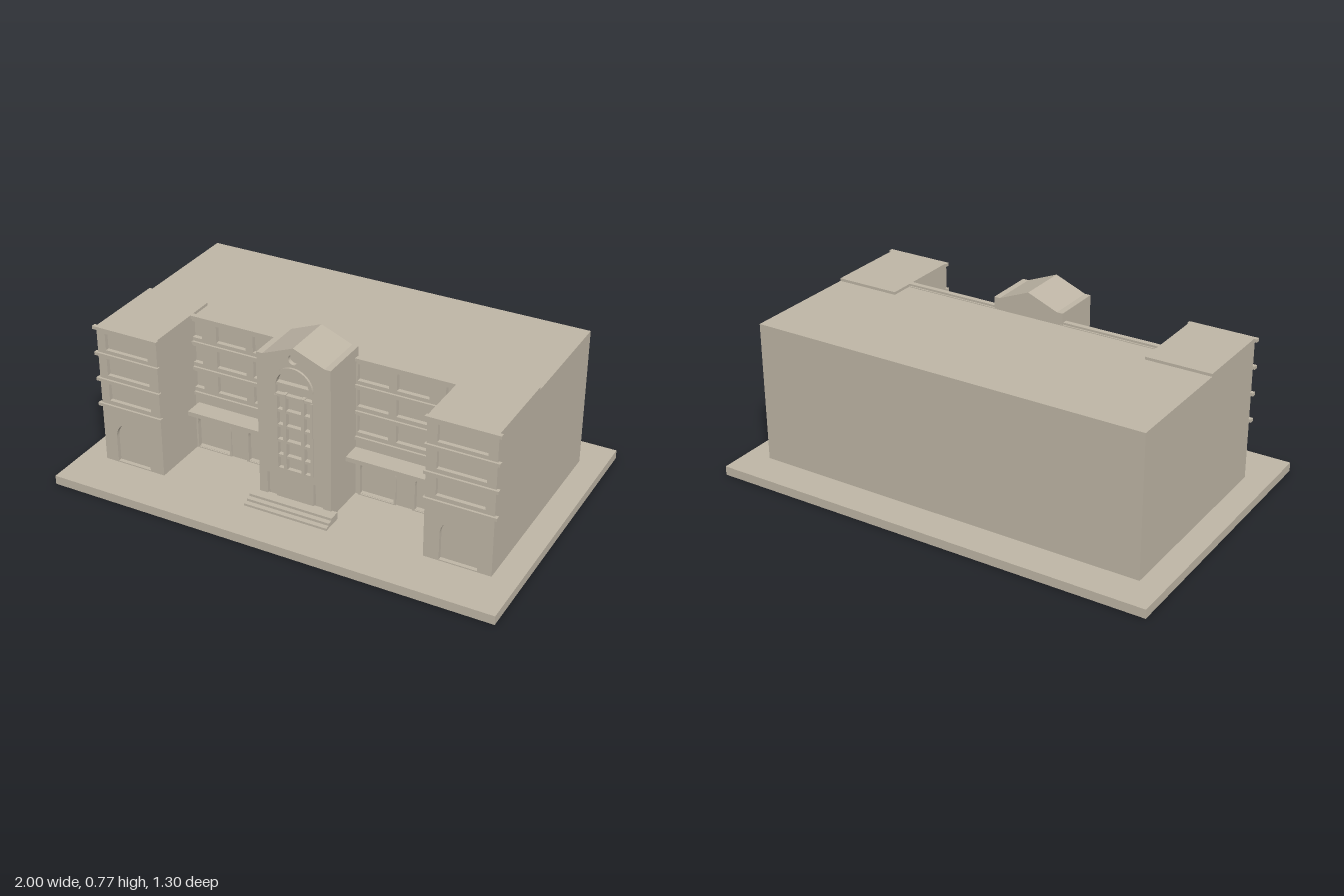
import * as THREE from 'three';

export function createModel() {
  const model = new THREE.Group();
  const stone = new THREE.MeshStandardMaterial({ color: 0xbfb6a6 });
  stone.name = 'stone';

  const add = (name, geometry, parent = model) => {
    const mesh = new THREE.Mesh(geometry, stone);
    mesh.name = name;
    parent.add(mesh);
    return mesh;
  };
  // Box given by its limits on each axis
  const box = (name, x0, x1, y0, y1, z0, z1, parent) =>
    add(name, new THREE.BoxGeometry(x1 - x0, y1 - y0, z1 - z0)
      .translate((x0 + x1) / 2, (y0 + y1) / 2, (z0 + z1) / 2), parent);
  const extrude = (name, shape, z0, z1, parent) =>
    add(name, new THREE.ExtrudeGeometry(shape, { depth: z1 - z0, bevelEnabled: false, curveSegments: 16 })
      .translate(0, 0, z0), parent);

  const poly = (points, Type = THREE.Shape) => new Type(points.map(([x, y]) => new THREE.Vector2(x, y)));
  const rect = (x0, x1, y0, y1, Type) => poly([[x0, y0], [x1, y0], [x1, y1], [x0, y1]], Type);
  const arch = (cx, r, y0, spring, Type = THREE.Path) => {
    const s = new Type();
    s.moveTo(cx - r, y0);
    s.lineTo(cx + r, y0);
    s.lineTo(cx + r, spring);
    s.absarc(cx, spring, r, 0, Math.PI, false);
    s.lineTo(cx - r, y0);
    return s;
  };
  // Arched surround with an open middle
  const archFrame = (name, cx, r, y0, spring, w, z0, z1, parent) => {
    const s = arch(cx, r, y0, spring, THREE.Shape);
    s.holes.push(arch(cx, r - w, y0 + 0.004, spring));
    extrude(name, s, z0, z1, parent);
  };

  const floors = [[0.335, 0.413], [0.455, 0.532], [0.573, 0.648]];
  const bandHeights = [0.31, 0.43, 0.55, 0.67];

  // Ground slab and main block
  box('groundSlab', -1, 1, 0, 0.04, -0.65, 0.65);
  box('mainBlock', -0.89, 0.89, 0.04, 0.665, -0.495, 0.148);

  for (const side of [-1, 1]) {
    const label = side > 0 ? 'left' : 'right';
    const span = (a, b) => (side > 0 ? [a, b] : [-b, -a]);

    // Projecting end wing with recessed windows and archway
    const wing = new THREE.Group();
    wing.name = label + 'Wing';
    model.add(wing);
    const [w0, w1] = span(0.6, 0.89);
    box('wingBlock', w0, w1, 0.04, 0.677, 0.045, 0.415, wing);
    const wingWall = rect(w0, w1, 0.04, 0.677);
    for (const [y0, y1] of floors) wingWall.holes.push(rect(...span(0.645, 0.85), y0, y1, THREE.Path));
    wingWall.holes.push(arch(side * 0.748, 0.081, 0.045, 0.164));
    extrude('wingFacade', wingWall, 0.415, 0.433, wing);
    for (const y of bandHeights) {
      box('wingBand', ...span(0.594, 0.903), y - 0.007, y + 0.007, 0.424, 0.443, wing);
    }

    // Set-back facade between wing and tower
    const inner = new THREE.Group();
    inner.name = label + 'CentralFacade';
    model.add(inner);
    const [c0, c1] = span(0.15, 0.605);
    const wall = rect(c0, c1, 0.04, 0.668);
    for (const [y0, y1] of floors) {
      for (const [a, b] of [[0.172, 0.31], [0.345, 0.485], [0.555, 0.6]]) {
        wall.holes.push(rect(...span(a, b), y0, y1, THREE.Path));
      }
    }
    for (const cx of [0.265, 0.514]) {
      wall.holes.push(arch(side * cx, 0.08, 0.045, 0.16));
      archFrame('archSurround', side * cx, 0.087, 0.04, 0.16, 0.01, 0.155, 0.174, inner);
    }
    extrude('centralWall', wall, 0.148, 0.168, inner);
    for (const y of bandHeights) {
      box('centralBand', c0, c1, y - 0.007, y + 0.007, 0.155, 0.178, inner);
    }
    box('canopy', ...span(0.15, 0.585), 0.243, 0.263, 0.165, 0.255, inner);
  }

  // Entrance tower with shouldered gable
  const tower = new THREE.Group();
  tower.name = 'entranceTower';
  model.add(tower);
  const outline = [[-0.165, 0.04], [0.165, 0.04], [0.165, 0.718], [0.138, 0.718],
    [0, 0.774], [-0.138, 0.718], [-0.165, 0.718]];
  extrude('towerBlock', poly(outline), 0.15, 0.36, tower);
  const towerWall = poly(outline);
  towerWall.holes.push(arch(0, 0.082, 0.212, 0.598));
  const roundel = new THREE.Path();
  roundel.absarc(0, 0.723, 0.022, 0, Math.PI * 2, false);
  towerWall.holes.push(roundel);
  for (const side of [-1, 1]) {
    const [a, b] = side > 0 ? [0.085, 0.128] : [-0.128, -0.085];
    towerWall.holes.push(rect(a, b, 0.045, 0.176, THREE.Path));
  }
  extrude('towerFacade', towerWall, 0.36, 0.378, tower);

  // Tall arched window: surround head and glazing bars
  const head = new THREE.Shape();
  head.absarc(0, 0.598, 0.09, 0, Math.PI, false);
  head.lineTo(-0.075, 0.598);
  head.absarc(0, 0.598, 0.075, Math.PI, 0, true);
  extrude('windowHead', head, 0.365, 0.388, tower);
  box('windowTransom', -0.082, 0.082, 0.598, 0.61, 0.36, 0.383, tower);
  for (const x of [-0.041, 0.041]) {
    box('windowMullion', x - 0.007, x + 0.007, 0.212, 0.56, 0.36, 0.383, tower);
  }
  for (let i = 0; i < 5; i++) {
    const y = 0.27 + i * 0.07;
    box('windowBar', -0.082, 0.082, y - 0.006, y + 0.006, 0.36, 0.38, tower);
  }
  for (const x of [-0.08, 0.08]) {
    box('windowJamb', x - 0.006, x + 0.006, 0.212, 0.55, 0.36, 0.382, tower);
  }

  // Entrance steps
  for (let i = 0; i < 3; i++) {
    box('entranceStep', -0.19, 0.19, 0.04, 0.05 + i * 0.011, 0.37, 0.465 - i * 0.022);
  }
  return model;
}
